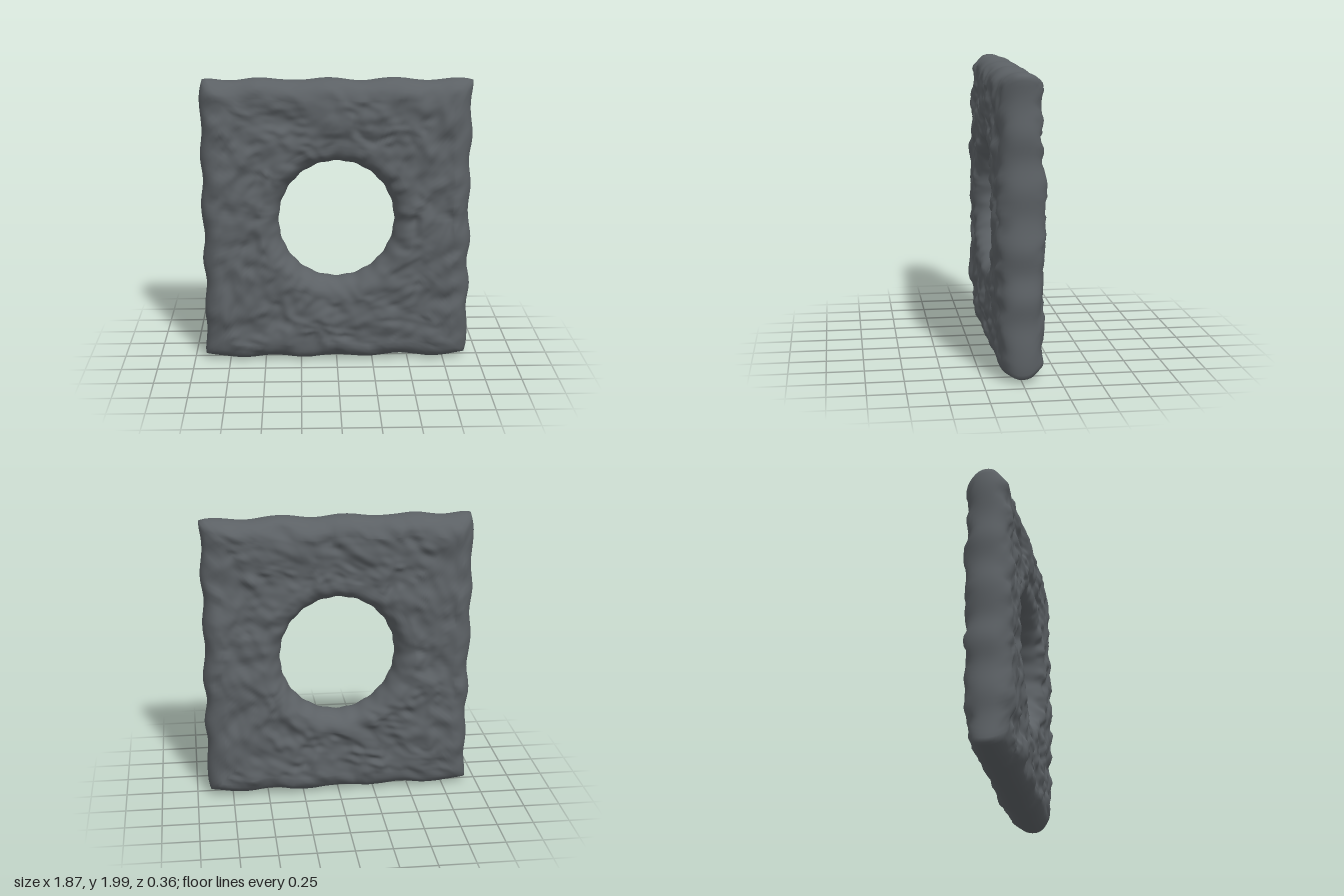
import * as THREE from 'three';

const { lerp } = THREE.MathUtils;

// Seeded smooth value noise in -1..1
function hash(x, y, z) {
  let h = Math.imul(x, 374761393) ^ Math.imul(y, 668265263) ^ Math.imul(z, 1274126177);
  h = Math.imul(h ^ (h >>> 13), 1103515245);
  return ((h ^ (h >>> 16)) >>> 0) / 2147483648 - 1;
}
function noise(x, y, z) {
  const i = [x, y, z].map(Math.floor);
  const [u, v, w] = [x - i[0], y - i[1], z - i[2]].map((t) => t * t * (3 - 2 * t));
  const c = (a, b, d) => hash(i[0] + a, i[1] + b, i[2] + d);
  const plane = (d) => lerp(lerp(c(0, 0, d), c(1, 0, d), u), lerp(c(0, 1, d), c(1, 1, d), u), v);
  return lerp(plane(0), plane(1), w);
}

// Chiselled relief, slightly stretched along a rising diagonal
function relief(x, y, side) {
  const a = 0.9 * x + 0.44 * y, b = 0.9 * y - 0.44 * x, s = side * 7.3;
  const warp = 0.9 * noise(a * 6, b * 6, s + 3);
  return 0.013 * noise(a * 4, b * 5, s)
    + 0.021 * noise(a * 9 + warp, b * 11 - warp, s + 11)
    + 0.014 * noise(a * 17 + warp, b * 23 + warp, s + 23);
}

// Closed cross-section: hole offset, edge inset, blend from hole to edge, depth
const DEPTH = 0.147, HOLE_ROUND = 0.12, RIM_ROUND = 0.115, RIM_FLAT = 0.01;
function crossSection() {
  const front = [], arc = 8, faceSteps = 36;
  for (let i = 1; i <= arc; i++) {
    const q = (i / arc) * Math.PI / 2;
    front.push({ a: HOLE_ROUND * (1 - Math.cos(q)), b: RIM_ROUND, t: 0, z: DEPTH * Math.sin(q) });
  }
  for (let i = 1; i < faceSteps; i++) {
    front.push({ a: HOLE_ROUND, b: RIM_ROUND, t: i / faceSteps, z: DEPTH });
  }
  for (let i = 0; i <= arc; i++) {
    const q = (i / arc) * Math.PI / 2;
    front.push({
      a: HOLE_ROUND, b: RIM_ROUND * (1 - Math.sin(q)), t: 1,
      z: RIM_FLAT + (DEPTH - RIM_FLAT) * Math.cos(q),
    });
  }
  const back = front.map((p) => ({ ...p, z: -p.z })).reverse();
  return [{ a: 0, b: RIM_ROUND, t: 0, z: 0 }, ...front, ...back];
}

function slabGeometry() {
  const section = crossSection(), m = section.length, perSide = 52, n = perSide * 4;
  const pos = [], index = [];
  for (let i = 0; i < n; i++) {
    // Walk the square rim counter-clockwise, pairing it with the round hole
    const turn = Math.floor(i / perSide) * Math.PI / 2;
    const k = ((i % perSide) / perSide) * 2 - 1;
    const angle = turn + k * Math.PI / 4;
    const soft = 1 - 0.01 * Math.pow(k, 20);
    const sx = soft * (Math.cos(turn) - k * Math.sin(turn));
    const sy = soft * (Math.sin(turn) + k * Math.cos(turn));
    const scallop = 1 + 0.008 * Math.cos(angle * 20);
    for (const { a, b, t, z } of section) {
      const hx = (0.4 * scallop + a) * Math.cos(angle);
      const hy = 0.01 + (0.42 * scallop + a) * Math.sin(angle);
      let x = lerp(hx, sx * (0.922 - b), t), y = lerp(hy, sy * (0.986 - b), t);
      // Gentle waves along the four rims, fading out over the broad faces
      const fade = Math.pow(t, 6);
      const waveX = 0.8 * Math.cos(17 * y + 2 * sx) + 0.6 * noise(y * 7, sx * 5, z * 3 + 40);
      const waveY = Math.cos(14 * (x + (sy > 0 ? 0.05 : 0.22))) + 0.4 * noise(x * 7, sy * 5, z * 3 + 60);
      x += 0.01 * fade * Math.pow(sx, 9) * waveX;
      y += 0.01 * fade * Math.pow(sy, 9) * waveY;
      // Rough faces, thinner at the four corners; the middle of the thickness wanders a little
      const depth = Math.pow(Math.abs(z) / DEPTH, 2);
      const pinch = 1 - 0.15 * Math.pow(Math.abs(x * y) / 0.85, 3);
      pos.push(x, y + 1, pinch * z + depth * relief(x, y, Math.sign(z)) + 0.008 * noise(x * 3, y * 3, 90));
    }
  }
  for (let i = 0; i < n; i++) {
    for (let j = 0; j < m; j++) {
      const i2 = (i + 1) % n, j2 = (j + 1) % m;
      const p = i * m + j, q = i * m + j2, r = i2 * m + j2, s = i2 * m + j;
      index.push(p, q, r, p, r, s);
    }
  }
  const geometry = new THREE.BufferGeometry();
  geometry.setAttribute('position', new THREE.Float32BufferAttribute(pos, 3));
  geometry.setIndex(index);
  geometry.computeVertexNormals();
  return geometry;
}

export function createModel() {
  const stone = new THREE.MeshStandardMaterial({ color: 0x5c6165 });
  stone.name = 'dark grey stone';
  const slab = new THREE.Mesh(slabGeometry(), stone);
  slab.name = 'stoneSlabWithRoundHole';
  const model = new THREE.Group();
  model.name = 'piercedStone';
  model.add(slab);
  return model;
}
